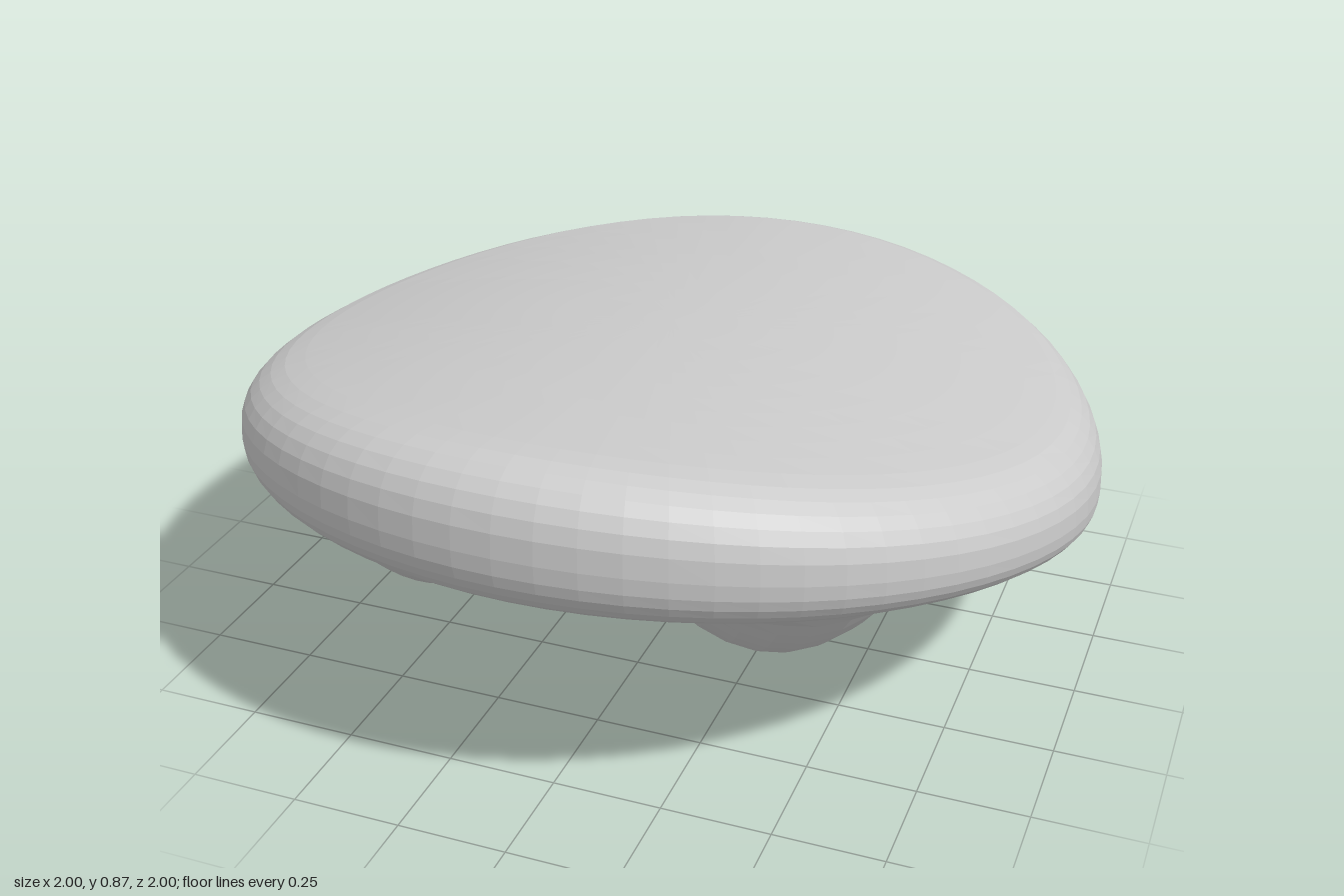
import * as THREE from 'three';

const SIDES = 72;

// Four rounded bumps under the body, mirrored left and right
const bumps = [];
for (const side of [-1, 1]) {
  bumps.push({ x: side * 0.4, z: 0.47, radius: 0.28, backRadius: 0.28, depth: 0.187 });
  bumps.push({ x: side * 0.39, z: -0.46, radius: 0.34, backRadius: 0.42, depth: 0.242 });
}

// Gently crowned top that rises to the front
const topHeight = (x, z) => 0.79 + 0.1 * z - 0.15 * x * x;

// Sloping underside with the bumps blended in by a soft fillet
function bottomHeight(x, z) {
  let y = 0.35 + 0.23 * z + 0.05 * x * x;
  for (const b of bumps) {
    const dx = (x - b.x) / b.radius;
    const dz = (z - b.z) / (z < b.z ? b.backRadius : b.radius);
    const s = 1 - dx * dx - dz * dz;
    y -= b.depth * 0.5 * (s + Math.sqrt(s * s + 0.015));
  }
  return y;
}

// Rounded edge: phi runs from 0 (top) to PI (underside); softer at the front
const topEdge = (a) => 0.87 - 0.05 * Math.sin(a);
const BOTTOM_EDGE = 0.87;
const soften = (v) => Math.pow(Math.abs(v), 0.8);

function rimPoint(phi, a) {
  const upper = phi <= Math.PI / 2;
  const inner = upper ? topEdge(a) : BOTTOM_EDGE;
  const r = inner + (1 - inner) * soften(Math.sin(phi));
  const x = r * Math.cos(a);
  const z = r * Math.sin(a);
  const top = topHeight(x, z);
  const bottom = bottomHeight(x, z);
  const middle = 0.42 * top + 0.58 * bottom;
  const y = middle + ((upper ? top : bottom) - middle) * soften(Math.cos(phi));
  return [x, y, z];
}

// Surface of rings swept around the vertical axis
function ringSurface(name, rings, point) {
  const positions = [];
  const index = [];
  for (let i = 0; i <= rings; i++) {
    for (let j = 0; j < SIDES; j++) {
      positions.push(...point(i / rings, (j / SIDES) * Math.PI * 2));
    }
  }
  for (let i = 0; i < rings; i++) {
    for (let j = 0; j < SIDES; j++) {
      const k = (j + 1) % SIDES;
      const a = i * SIDES + j, b = i * SIDES + k;
      const c = a + SIDES, d = b + SIDES;
      index.push(a, b, c, b, d, c);
    }
  }
  const geometry = new THREE.BufferGeometry();
  geometry.setAttribute('position', new THREE.Float32BufferAttribute(positions, 3));
  geometry.setIndex(index);
  geometry.computeVertexNormals();
  const material = new THREE.MeshStandardMaterial({ color: 0xcccccc, flatShading: true });
  const mesh = new THREE.Mesh(geometry, material);
  mesh.name = name;
  return mesh;
}

export function createModel() {
  const group = new THREE.Group();
  group.name = 'roundBody';

  group.add(ringSurface('topFace', 12, (t, a) => {
    const x = topEdge(a) * t * Math.cos(a);
    const z = topEdge(a) * t * Math.sin(a);
    return [x, topHeight(x, z), z];
  }));

  group.add(ringSurface('roundedRim', 14, (t, a) => rimPoint(t * Math.PI, a)));

  group.add(ringSurface('undersideWithBumps', 26, (t, a) => {
    const r = BOTTOM_EDGE * (1 - t);
    const x = r * Math.cos(a);
    const z = r * Math.sin(a);
    return [x, bottomHeight(x, z), z];
  }));

  return group;
}
